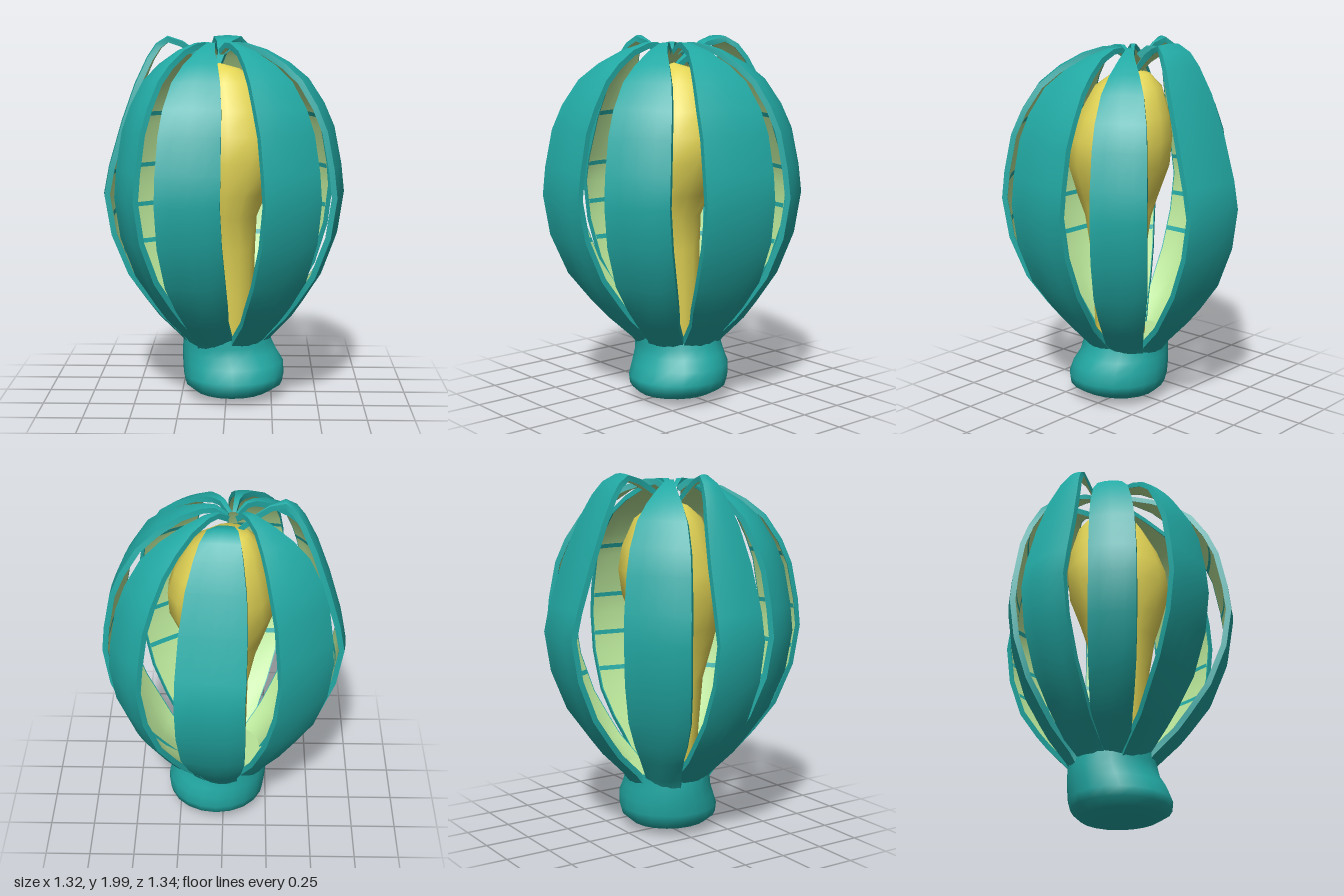
import * as THREE from 'three';

const paint = (name, color) => {
  const m = new THREE.MeshStandardMaterial({ color });
  m.name = name;
  return m;
};
const lerp = THREE.MathUtils.lerp;

// Grid surface from a point function; normals face rowDir-right x rowDir-up
function surface(point, rows, cols, closed = false) {
  const pos = [], idx = [], n = cols.length;
  for (const r of rows) for (const c of cols) pos.push(...point(r, c).toArray());
  for (let i = 0; i < rows.length - 1; i++) {
    for (let j = 0; j < (closed ? n : n - 1); j++) {
      const a = i * n + j, b = i * n + (j + 1) % n, c = a + n, d = b + n;
      idx.push(a, b, d, a, d, c);
    }
  }
  const g = new THREE.BufferGeometry();
  g.setAttribute('position', new THREE.Float32BufferAttribute(pos, 3));
  g.setIndex(idx);
  g.computeVertexNormals();
  return g;
}

// Lopsided round body; rings are [y, x radius, z radius, x centre, z centre]
function roundBody(name, rings, sides, mat) {
  const angles = Array.from({ length: sides }, (_, i) => i / sides * Math.PI * 2);
  const ringPoint = ([y, rx, rz, cx, cz], a) =>
    new THREE.Vector3(cx + rx * Math.sin(a), y, cz + rz * Math.cos(a));
  const mesh = new THREE.Mesh(surface(ringPoint, rings, angles, true), mat);
  mesh.name = name;
  return mesh;
}

// Petal stations: [s, y, width]; s runs 0 base, 1 widest, 2 tip
const LOWER = [[-0.06, 0.29, 0], [0.04, 0.35, 0], [0.32, 0.47, 0.25], [0.48, 0.56, 0.55],
  [0.72, 0.71, 0.87], [0.92, 0.93, 1], [1, 1.15, 1]];
const CLOSED = [...LOWER, [1.025, 1.3, 1], [1.085, 1.5, 0.96], [1.17, 1.63, 0.9], [1.3, 1.765, 0.75],
  [1.45, 1.85, 0.54], [1.63, 1.92, 0.29], [1.8, 1.957, 0.14], [1.9, 1.96, 0.09], [2, 1.92, 0.06]];
const RAISED = [...LOWER, [1.05, 1.3, 1], [1.17, 1.54, 0.95], [1.29, 1.74, 0.84], [1.4, 1.88, 0.68],
  [1.48, 1.95, 0.57], [1.58, 1.99, 0.43], [1.72, 1.965, 0.24], [1.86, 1.91, 0.13], [2, 1.84, 0.07]];

// Widest-point corners of each petal: ax, az, bx, bz, path, pinch of the upper half
const PETALS = [
  [0.24, -0.63, -0.12, -0.66, RAISED, 1], [0.60, -0.27, 0.44, -0.51, CLOSED, 1],
  [0.59, 0.30, 0.65, -0.11, CLOSED, 1], [0.21, 0.66, 0.50, 0.47, CLOSED, 1],
  [-0.35, 0.66, -0.02, 0.66, CLOSED, 1], [-0.59, 0.29, -0.47, 0.51, CLOSED, 1],
  [-0.655, -0.10, -0.655, 0.18, RAISED, 2], [-0.31, -0.46, -0.59, -0.235, CLOSED, 1],
];

function makePetal([ax, az, bx, bz, path, pinch], shellMat, innerMat) {
  const petal = new THREE.Group();
  const wide = new THREE.Vector3((ax + bx) / 2, 0, (az + bz) / 2);
  const dir = wide.clone().normalize();
  const base = dir.clone().multiplyScalar(0.215);
  const tip = dir.clone().multiplyScalar(0.025).add(new THREE.Vector3(-0.05, 0, 0.01));
  const side = new THREE.Vector3(bx - ax, 0, bz - az);
  const half = side.length() / 2;
  side.normalize();

  const stations = path.map(([s, y, w]) => {
    const c = s <= 1 ? base.clone().lerp(wide, s) : wide.clone().lerp(tip, s - 1);
    c.y = y;
    return s <= 1
      ? { c, hw: lerp(0.1, half, w), bow: lerp(0.025, 0.014, w) }
      : { c, hw: half * w ** pinch, bow: 0.014 * w };
  });
  // Outward normal at each station
  stations.forEach((st, i) => {
    const p = stations[Math.max(i - 1, 0)].c, q = stations[Math.min(i + 1, stations.length - 1)].c;
    st.n = side.clone().cross(q.clone().sub(p)).normalize();
  });
  const at = (i, v, d) => {
    const st = stations[i];
    return st.c.clone().addScaledVector(side, v * st.hw).addScaledVector(st.n, st.bow * (1 - v * v) - d);
  };
  const point = (u, v, d) => {
    const i = Math.min(Math.floor(u), stations.length - 2);
    return at(i, v, d).lerp(at(i + 1, v, d), u - i);
  };

  const T = 0.03;
  const rows = stations.map((_, i) => i);
  const innerCols = [0.96, 0.48, 0, -0.48, -0.96];
  const add = (name, mat, fn, us, vs) => {
    const m = new THREE.Mesh(surface(fn, us, vs), mat);
    m.name = name;
    petal.add(m);
  };
  const inside = (u, v) => point(u, v, T);
  add('petalOuterFace', shellMat, (u, v) => point(u, v, 0), rows, [-1, -0.5, 0, 0.5, 1]);
  add('petalEdge', shellMat, (u, d) => point(u, 1, d), rows, [0, T]);
  add('petalEdge', shellMat, (u, d) => point(u, -1, d), rows, [T, 0]);
  add('petalRim', shellMat, inside, rows, [1, 0.96]);
  add('petalRim', shellMat, inside, rows, [-0.96, -1]);
  add('petalInnerFace', innerMat, inside, rows, innerCols);

  // Thin cross stripes on the inner face
  for (const y of [0.81, 1.02, 1.25, 1.55]) {
    const i = path.findIndex((p, k) => p[1] <= y && path[k + 1][1] > y);
    const step = path[i + 1][1] - path[i][1], u = i + (y - path[i][1]) / step;
    add('petalStripe', shellMat, (a, v) => point(a, v, T + 0.003),
      [u, Math.min(u + 0.025 / step, i + 1)], innerCols);
  }
  return petal;
}

export function createModel() {
  const model = new THREE.Group();
  const teal = paint('teal', 0x22a9a4);
  const green = paint('paleGreen', 0xb8e498);
  const yellow = paint('yellow', 0xe4d656);

  // Lopsided bulb at the bottom
  model.add(roundBody('baseBulb', [[0.005, 0, 0, 0.02, 0.02], [0.01, 0.1, 0.1, 0.02, 0.03],
    [0.04, 0.21, 0.22, 0.03, 0.04], [0.08, 0.27, 0.265, 0.04, 0.04], [0.13, 0.28, 0.275, 0.04, 0.035],
    [0.2, 0.28, 0.26, 0.035, 0.02], [0.26, 0.262, 0.24, 0.015, 0.01], [0.31, 0.247, 0.235, 0.005, 0.01],
    [0.36, 0.238, 0.235, 0, 0.01]], 20, teal));

  // Floor of the cup between the petals
  const floor = new THREE.Mesh(new THREE.CircleGeometry(0.235, 20), green);
  floor.rotation.x = -Math.PI / 2;
  floor.position.set(0, 0.358, 0.01);
  floor.name = 'cupFloor';
  model.add(floor);

  // Pistil: slim stalk with a swollen head leaning forward
  model.add(roundBody('pistil', [[0.3, 0.14, 0.14, 0.015, 0.04], [0.6, 0.145, 0.15, 0.01, 0.05],
    [0.85, 0.15, 0.165, 0.01, 0.06], [1.03, 0.175, 0.195, -0.005, 0.075], [1.15, 0.22, 0.23, 0, 0.07],
    [1.33, 0.285, 0.28, 0.01, 0.05], [1.47, 0.285, 0.28, 0.015, 0.03], [1.6, 0.25, 0.25, 0.01, 0.015],
    [1.75, 0.185, 0.185, -0.01, 0.005], [1.82, 0.1, 0.1, -0.03, 0], [1.85, 0, 0, -0.04, 0]], 14, yellow));

  // Ring of eight petals
  for (const spec of PETALS) {
    const petal = makePetal(spec, teal, green);
    petal.name = 'petal';
    model.add(petal);
  }
  return model;
}
